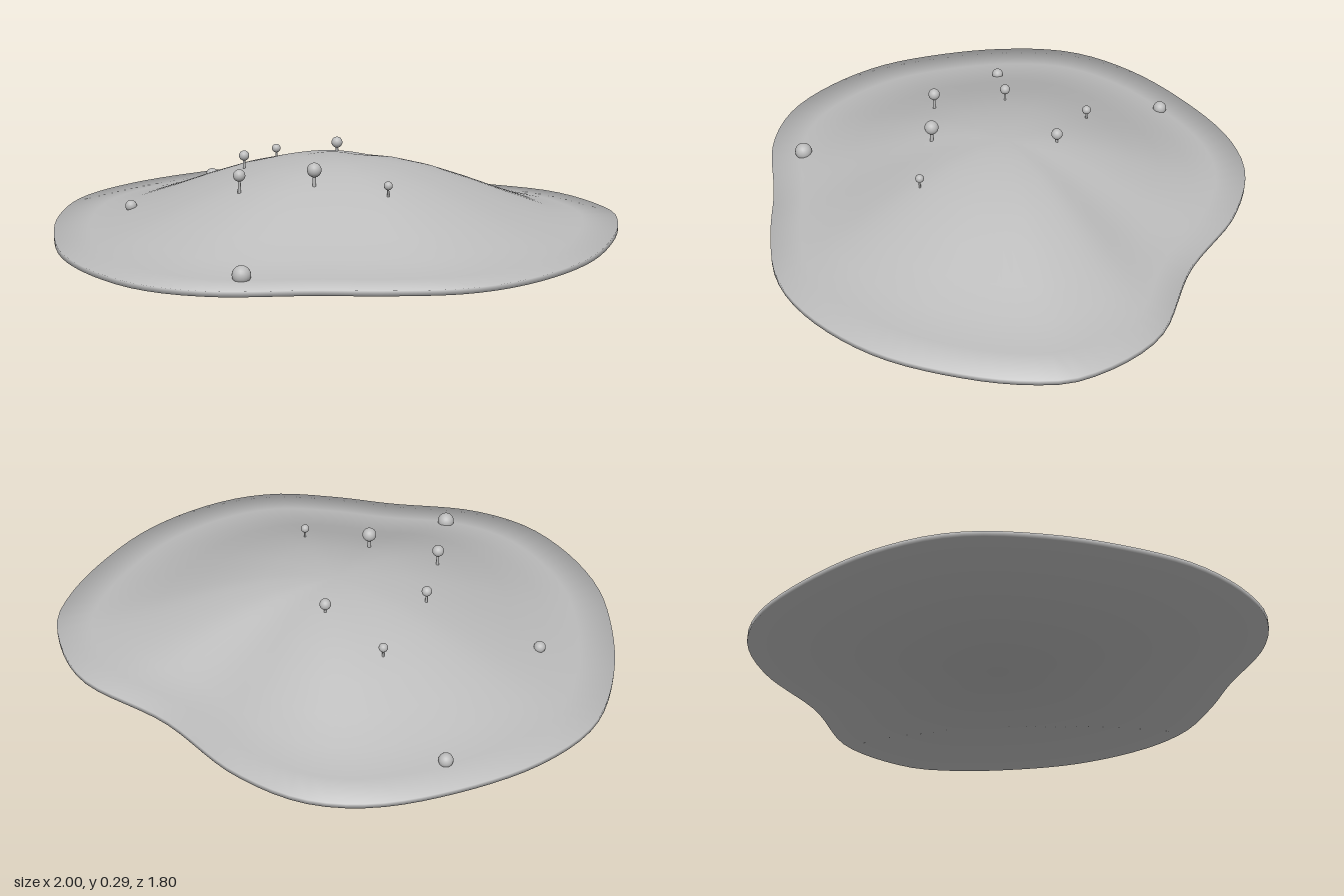
import * as THREE from 'three';

const SEGMENTS = 96;

// Island outline seen from above (x, z), counter-clockwise
const OUTLINE = [
  [1.0, 0.14], [0.965, -0.06], [0.885, -0.21], [0.62, -0.435], [0.4, -0.71], [0.19, -0.86],
  [-0.02, -0.905], [-0.29, -0.87], [-0.61, -0.755], [-0.826, -0.585], [-0.95, -0.32],
  [-1.0, 0.0], [-0.99, 0.19], [-0.92, 0.4], [-0.8, 0.58], [-0.61, 0.705], [-0.29, 0.785],
  [-0.08, 0.85], [0.17, 0.895], [0.4, 0.85], [0.67, 0.69], [0.885, 0.43], [0.975, 0.25],
];

// Cross-section from the summit to the shore, down the edge and back under: [share of radius, height]
const PROFILE = [
  [0, 0.25], [0.125, 0.244], [0.25, 0.225], [0.375, 0.191], [0.5, 0.146], [0.625, 0.097],
  [0.75, 0.051], [0.875, 0.022], [1, 0.018], [1, 0], [0, 0],
];
const SHORE = 8, BASE = 9, UNDERSIDE = 10;

// [x, canopy height, z, canopy radius]
const TREES = [
  [-0.31, 0.25, -0.11, 0.018], [-0.385, 0.24, 0.14, 0.021], [-0.145, 0.264, 0.23, 0.025],
  [0.05, 0.264, -0.17, 0.02], [0.08, 0.222, 0.35, 0.015], [-0.13, 0.212, -0.36, 0.016],
];

// [x, height, z, radius]
const BOULDERS = [
  [-0.49, 0.036, 0.62, 0.031], [-0.295, 0.034, -0.74, 0.025], [-0.7, 0.065, -0.225, 0.021],
];

function islandGeometry() {
  const curve = new THREE.CatmullRomCurve3(
    OUTLINE.map(([x, z]) => new THREE.Vector3(x, 0, z)), true);
  const rim = curve.getSpacedPoints(SEGMENTS).slice(0, SEGMENTS);
  const positions = [], index = [];
  PROFILE.forEach(([t, y], row) => {
    rim.forEach((p, j) => {
      positions.push(p.x * t, y, p.z * t);
      if (row === UNDERSIDE) return;
      const next = (j + 1) % SEGMENTS;
      const a = row * SEGMENTS + j, d = row * SEGMENTS + next;
      const b = a + SEGMENTS, c = d + SEGMENTS;
      if (row !== UNDERSIDE - 1) index.push(a, b, c);
      else index.push(a, b, d);
      if (row > 0 && row !== UNDERSIDE - 1) index.push(a, c, d);
    });
  });
  const geometry = new THREE.BufferGeometry();
  geometry.setAttribute('position', new THREE.Float32BufferAttribute(positions, 3));
  geometry.setIndex(index);
  geometry.computeVertexNormals();

  // Soften the normals round the edge and align them at the two centres
  const normal = geometry.attributes.normal;
  rim.forEach((p, j) => {
    const before = rim[(j + SEGMENTS - 1) % SEGMENTS], after = rim[(j + 1) % SEGMENTS];
    const out = new THREE.Vector3(before.z - after.z, 0, after.x - before.x).normalize();
    normal.setXYZ(SHORE * SEGMENTS + j, out.x * 0.71, 0.71, out.z * 0.71);
    normal.setXYZ(BASE * SEGMENTS + j, out.x * 0.71, -0.71, out.z * 0.71);
    normal.setXYZ(j, 0, 1, 0);
    normal.setXYZ(UNDERSIDE * SEGMENTS + j, 0, -1, 0);
  });
  return geometry;
}

export function createModel() {
  const model = new THREE.Group();
  model.name = 'island';
  const stone = new THREE.MeshStandardMaterial({ color: 0xbcbcbc });
  stone.name = 'plain grey';

  const add = (parent, name, geometry, x = 0, y = 0, z = 0) => {
    const mesh = new THREE.Mesh(geometry, stone);
    mesh.name = name;
    mesh.position.set(x, y, z);
    parent.add(mesh);
    return mesh;
  };

  // Hill, shore and flat underside in one smooth shell
  add(model, 'hill', islandGeometry());

  // Round trees on short trunks sunk into the hill
  for (const [x, y, z, r] of TREES) {
    const tree = new THREE.Group();
    tree.name = 'tree';
    tree.position.set(x, y, z);
    model.add(tree);
    add(tree, 'canopy', new THREE.SphereGeometry(r, 20, 14));
    add(tree, 'trunk', new THREE.CylinderGeometry(r * 0.22, r * 0.28, 0.07, 10), 0, -0.035, 0);
  }

  // Half-buried boulders near the shore
  for (const [x, y, z, r] of BOULDERS) {
    add(model, 'boulder', new THREE.SphereGeometry(r, 20, 14), x, y, z);
  }
  return model;
}
